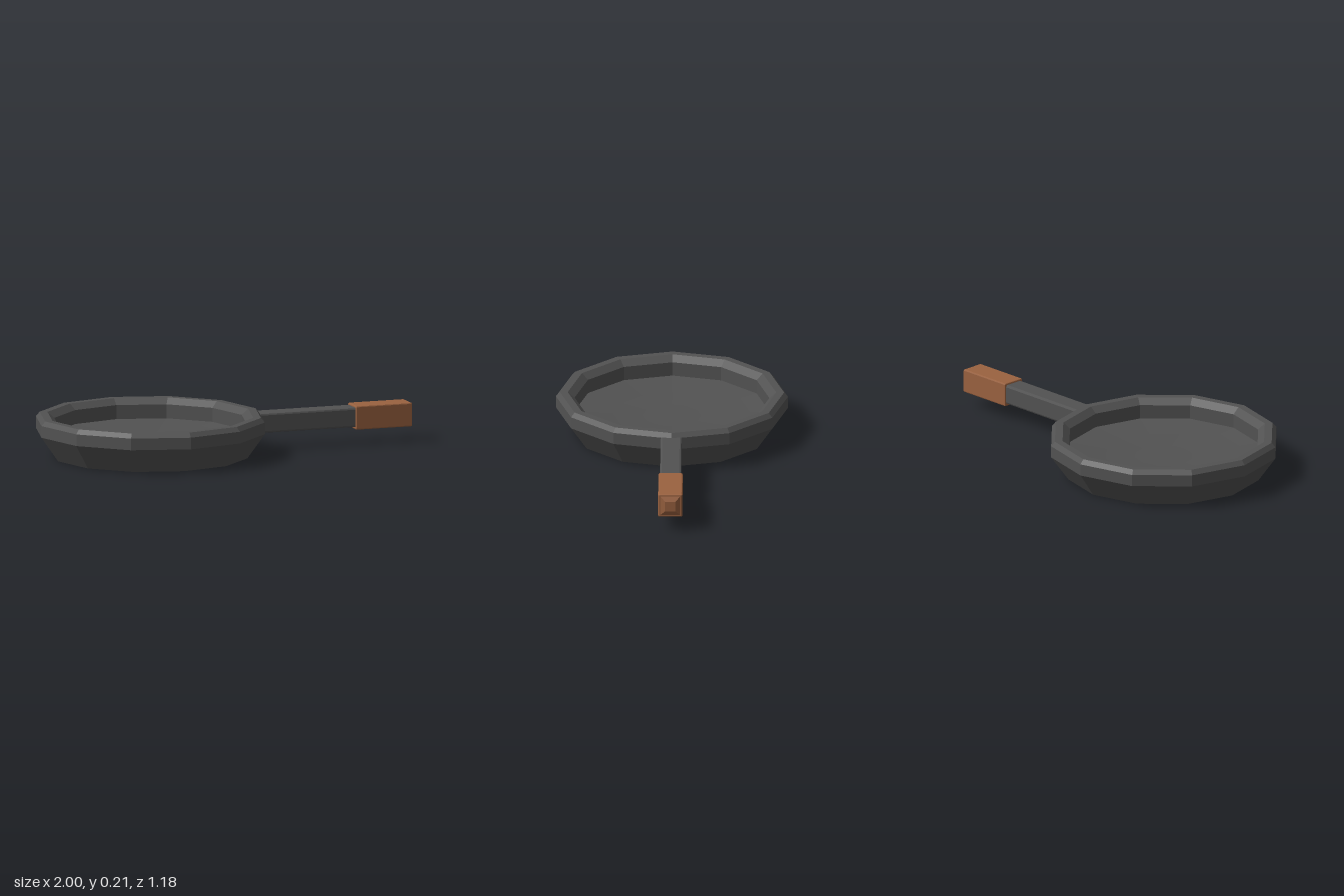
import * as THREE from 'three';
import { RoundedBoxGeometry } from 'three/addons/geometries/RoundedBoxGeometry.js';

const iron = new THREE.MeshStandardMaterial({ color: 0x525252, flatShading: true });
const wood = new THREE.MeshStandardMaterial({ color: 0x9a6240, flatShading: true });

// Chamfered bar lying along x, from x0 to x1
function bar(name, x0, x1, y0, y1, width, chamfer, material) {
  const geometry = new RoundedBoxGeometry(x1 - x0, y1 - y0, width, 1, chamfer);
  const mesh = new THREE.Mesh(geometry, material);
  mesh.name = name;
  mesh.position.set((x0 + x1) / 2, (y0 + y1) / 2, 0);
  return mesh;
}

export function createModel() {
  const group = new THREE.Group();
  group.name = 'fryingPan';

  // Twelve-sided bowl: underside, flared wall, flat rim with chamfers, inner wall, dished floor
  const profile = [
    [0, 0], [0.5, 0], [0.59, 0.127], [0.59, 0.187], [0.57, 0.21],
    [0.53, 0.21], [0.495, 0.18], [0.495, 0.108], [0.4, 0.1], [0.3, 0.092], [0.15, 0.084], [0, 0.082],
  ].map(([r, y]) => new THREE.Vector2(r, y));
  const bowl = new THREE.Mesh(new THREE.LatheGeometry(profile, 12), iron);
  bowl.name = 'bowl';
  bowl.position.x = -0.41;
  group.add(bowl);

  // Iron handle running from the wall into the wooden grip
  group.add(bar('handle', 0.12, 0.72, 0.088, 0.189, 0.108, 0.01, iron));
  group.add(bar('grip', 0.683, 0.988, 0.076, 0.198, 0.123, 0.006, wood));

  // Shallow square pyramid closing the grip's end
  const capGeometry = new THREE.CylinderGeometry(0.026 * Math.SQRT2, 0.058 * Math.SQRT2, 0.016, 4)
    .rotateY(Math.PI / 4)
    .rotateZ(-Math.PI / 2);
  const cap = new THREE.Mesh(capGeometry, wood);
  cap.name = 'gripEnd';
  cap.position.set(0.992, 0.137, 0);
  group.add(cap);

  return group;
}
